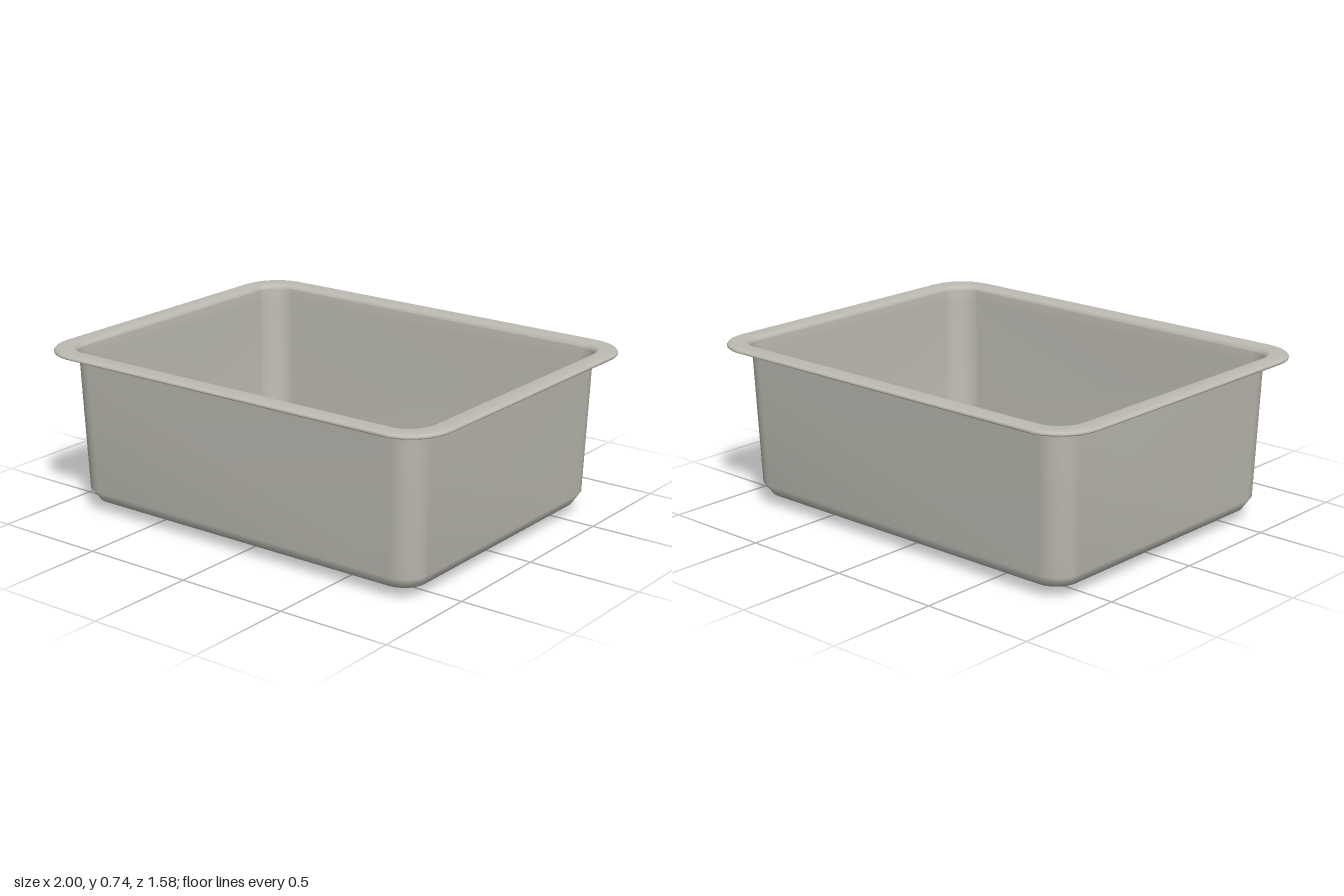
import * as THREE from 'three';

const HALF_X = 1, HALF_Z = 0.79, STEPS = 8; // steps per rounded corner

// One closed loop: a rounded rectangle inset from the outer rim
function rectLoop(inset, y, radius) {
  const points = [];
  const cx = HALF_X - inset - radius, cz = HALF_Z - inset - radius;
  for (let k = 0; k < 4; k++) {
    const sx = k === 0 || k === 3 ? 1 : -1, sz = k < 2 ? 1 : -1;
    for (let j = 0; j <= STEPS; j++) {
      const a = (k + j / STEPS) * Math.PI / 2;
      points.push([sx * cx + radius * Math.cos(a), y, sz * cz + radius * Math.sin(a)]);
    }
  }
  return points;
}

// A circular loop with the same number of points
function circleLoop(radius, y) {
  const count = 4 * (STEPS + 1);
  return Array.from({ length: count }, (_, i) => {
    const a = (i + 0.5) / count * Math.PI * 2;
    return [radius * Math.cos(a), y, radius * Math.sin(a)];
  });
}

// Skin consecutive loops into one smooth surface
function loft(loops) {
  const n = loops[0].length, index = [];
  for (let r = 0; r < loops.length - 1; r++) {
    for (let i = 0; i < n; i++) {
      const a = r * n + i, b = r * n + (i + 1) % n, c = a + n, d = b + n;
      index.push(a, c, b, b, c, d);
    }
  }
  const geometry = new THREE.BufferGeometry();
  geometry.setAttribute('position', new THREE.Float32BufferAttribute(loops.flat(2), 3));
  geometry.setIndex(index);
  geometry.computeVertexNormals();
  return geometry;
}

export function createModel() {
  const group = new THREE.Group();
  group.name = 'sinkBasin';
  const steel = new THREE.MeshStandardMaterial({ color: 0xbdbbb2, side: THREE.DoubleSide });
  steel.name = 'brushedSteel';

  const add = (name, geometry) => {
    const mesh = new THREE.Mesh(geometry, steel);
    mesh.name = name;
    group.add(mesh);
  };

  // Rolled flange around the top
  add('rim', loft([
    rectLoop(0.015, 0.715, 0.175),
    rectLoop(0.003, 0.717, 0.187),
    rectLoop(0, 0.723, 0.19),
    rectLoop(0.005, 0.73, 0.185),
    rectLoop(0.02, 0.735, 0.17),
    rectLoop(0.075, 0.734, 0.125),
    rectLoop(0.088, 0.729, 0.115),
    rectLoop(0.094, 0.715, 0.11),
  ]));

  // Tapered walls, rounded base and floor sloping to the drain
  add('bowl', loft([
    rectLoop(0.094, 0.715, 0.11),
    rectLoop(0.1, 0.66, 0.11),
    rectLoop(0.117, 0.1, 0.11),
    rectLoop(0.147, 0.05, 0.1),
    rectLoop(0.22, 0.028, 0.08),
    circleLoop(0.15, 0.018),
    circleLoop(0.125, 0.016),
    circleLoop(0.107, 0.011),
  ]));

  // Shallow dished drain
  const drainProfile = [[0, 0], [0.072, 0], [0.09, 0.003], [0.107, 0.011]]
    .map(([r, y]) => new THREE.Vector2(r, y));
  add('drain', new THREE.LatheGeometry(drainProfile, 36));

  return group;
}
